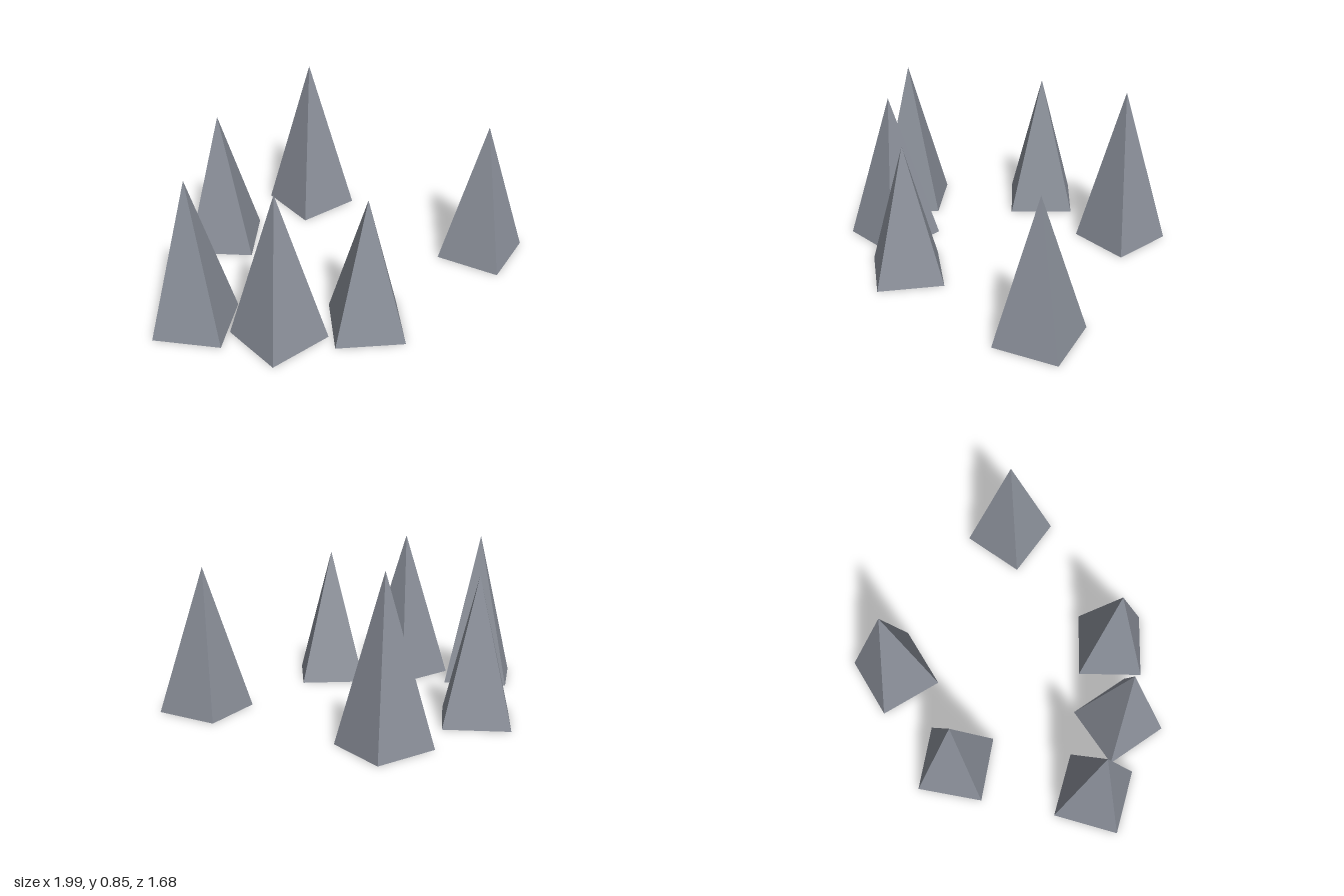
import * as THREE from 'three';

// x, z, height, turn about y (radians)
const SPIKES = [
  [-0.083, -0.607, 0.85, -0.27],
  [-0.604, -0.281, 0.747, 0.573],
  [0.757, 0.05, 0.755, 0.133],
  [-0.785, 0.446, 0.815, 0.478],
  [-0.389, 0.601, 0.8, -0.218],
  [0.044, 0.583, 0.72, 0.738],
];
const RADIUS = 0.241; // centre to base corner, shared by all spikes

export function createModel() {
  const model = new THREE.Group();
  model.name = 'spikeCluster';
  const stone = new THREE.MeshStandardMaterial({ color: 0x8a8f99, flatShading: true });
  stone.name = 'blueGreyStone';

  // Four-sided pyramids with closed square bases on the ground
  SPIKES.forEach(([x, z, height, turn], i) => {
    const geometry = new THREE.ConeGeometry(RADIUS, height, 4);
    geometry.translate(0, height / 2, 0);
    const spike = new THREE.Mesh(geometry, stone);
    spike.name = `spike${i + 1}`;
    spike.position.set(x, 0, z);
    spike.rotation.y = turn;
    model.add(spike);
  });
  return model;
}
